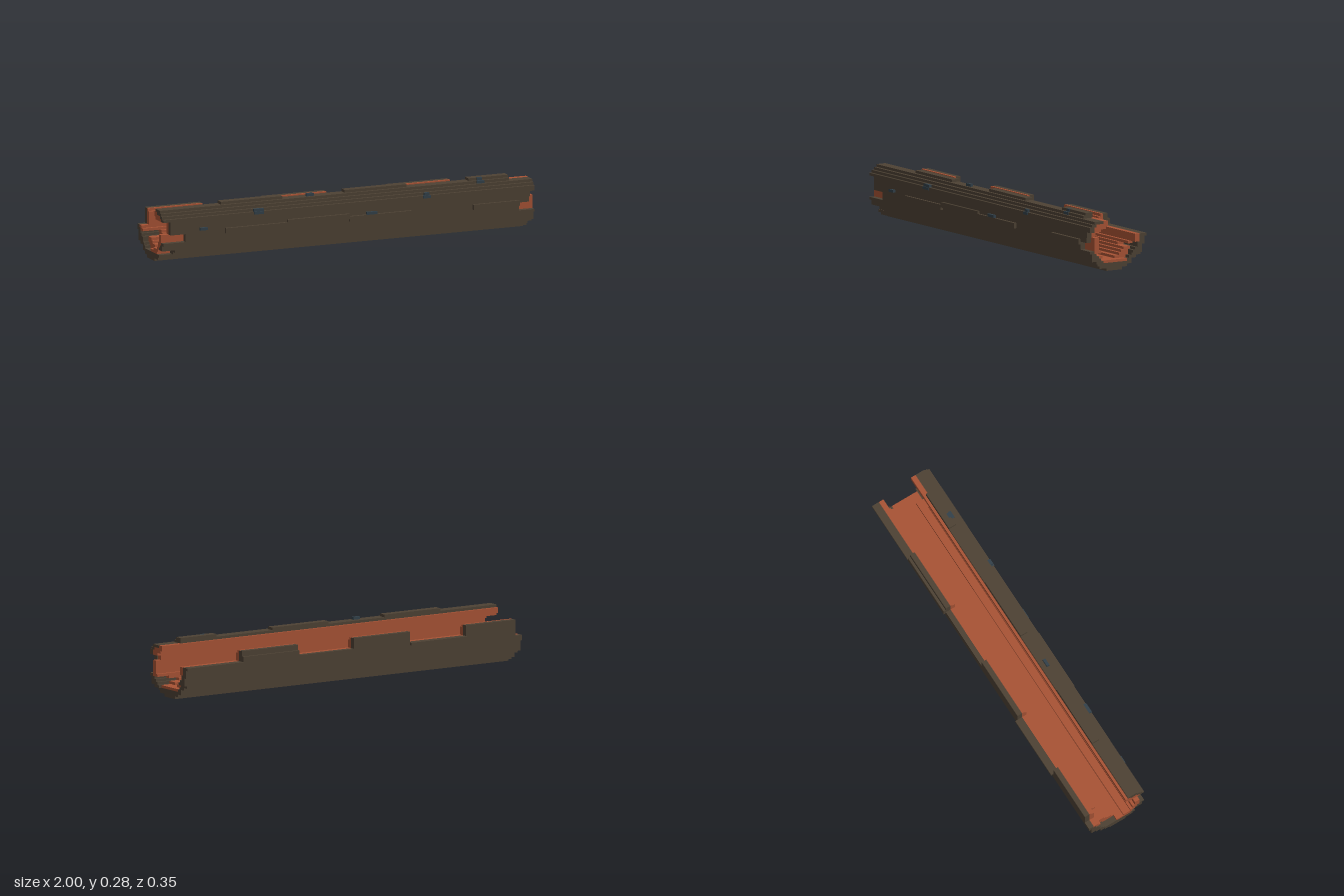
import * as THREE from 'three';
import { mergeGeometries } from 'three/addons/utils/BufferGeometryUtils.js';

const U = 1 / 75; // size of one voxel

// Box from rows j0..j1 (up), columns a..b (depth), both in voxels, and x0..x1 in units
function block(j0, j1, a, b, x0, x1) {
  const g = new THREE.BoxGeometry(x1 - x0, (j1 - j0) * U, Math.abs(a - b) * U);
  g.translate((x0 + x1) / 2, ((j0 + j1) / 2) * U, ((a + b) / 2) * U);
  return g;
}

// Start and end of one of the six equal lengths of the log
const span = (s) => [-1 + s / 3, -1 + (s + 1) / 3];

// Wall rows: first row, last row + 1, outer, bark/wood border, inner, bark x0, x1, wood x0, x1
const frontRows = [
  [3, 4, 9, 6, 0, -0.93, 1, -1, 0.985],
  [4, 5, 11, 7, 3, -0.93, 1, -1, 0.93],
  [5, 6, 11, 8, 6, -1, 1, -1, 0.88],
  [6, 7, 11, 9, 7, -1, 1, -1, 0.93],
  [7, 8, 12, 10, 7, -1, 1, -1, 1],
  [8, 11, 12, 10, 8, -0.88, 0.915, -1, 1],
  [11, 13, 12, 10, 8, -0.96, 0.97, -0.96, 1],
  [13, 15, 12, 10, 8, -0.96, 0.975, -0.96, 0.97],
  [15, 16, 12, 10, 7, -0.96, 1, -0.96, 1],
  [16, 17, 12, 10, 5, -1, 1, -1, 1],
  [17, 18, 11, 9, 4, -1, 1, -1, 1],
  [18, 19, 10, 6, 4, -1, 1, -1, 1],
];
const backRows = [
  [3, 4, -7, -5, 0, -1, 0.985, -0.97, 0.985],
  [4, 5, -9, -6, -1, -1, 0.985, -0.97, 0.955],
  [5, 6, -11, -7, -3, -1, 0.985, -0.97, 0.955],
  [6, 7, -11, -7, -4, -1, 1, -0.97, 0.955],
  [7, 8, -11, -8, -5, -1, 1, -0.905, 0.955],
  [8, 9, -11, -9, -6, -1, 1, -0.905, 0.88],
  [9, 10, -12, -9, -7, -1, 1, -1, 0.955],
  [10, 11, -12, -10, -8, -1, 1, -1, 1],
  [11, 13, -12, -10, -8, -0.96, 1, -0.96, 1],
];

export function createModel() {
  const log = new THREE.Group();
  log.name = 'hollowLog';
  const colours = { bark: 0x4d4234, wood: 0xa85335, moss: 0x33414a };
  const mats = {};
  for (const [name, hex] of Object.entries(colours)) {
    mats[name] = new THREE.MeshStandardMaterial({ color: hex });
    mats[name].name = name;
  }
  const add = (name, mat, boxes) => {
    const mesh = new THREE.Mesh(mergeGeometries(boxes), mats[mat]);
    mesh.name = name;
    log.add(mesh);
  };

  // Stepped underside
  add('undersideBark', 'bark', [
    block(0, 1, 4, -3, -1, 0.985),
    block(1, 2, 7, -5, -1, 0.985),
    block(2, 3, 8, -7, -1, 0.985),
  ]);

  // Both walls: bark outside, wood inside
  const wall = (rows) => ({
    bark: rows.map(([j0, j1, o, m, , x0, x1]) => block(j0, j1, o, m, x0, x1)),
    wood: rows.map(([j0, j1, , m, i, , , x0, x1]) => block(j0, j1, m, i, x0, x1)),
  });
  const front = wall(frontRows);
  const back = wall(backRows);

  // Front rim and its raised lengths
  front.bark.push(block(19, 20, 9, 5, -1, 0.88));
  for (const s of [1, 3, 5]) {
    const [x0, x1] = span(s);
    front.bark.push(block(20, 21, 8, 5, x0, Math.min(x1, 0.88)));
  }
  // Ridges along the front
  for (const [s, j] of [[1, 10], [2, 11], [3, 10], [5, 10]]) {
    const [x0, x1] = span(s);
    front.bark.push(block(j, j + 2, 13, 12, x0, Math.min(x1, 0.915)));
  }

  // Raised lengths of the back wall
  for (const s of [0, 2, 4]) {
    const [a, x1] = span(s);
    const x0 = Math.max(a, -0.96);
    back.bark.push(block(13, 17, -12, -10, x0, x1));
    back.wood.push(block(13, 16, -10, -8, x0, x1), block(16, 17, -10, -9, x0, x1));
  }
  // Ridges along the back
  for (const [s, top] of [[1, 13], [4, 15], [5, 13]]) {
    back.bark.push(block(12, top, -13, -12, ...span(s)));
  }

  add('frontBark', 'bark', front.bark);
  add('frontWood', 'wood', front.wood);
  add('backBark', 'bark', back.bark);
  add('backWood', 'wood', back.wood);

  // Moss tufts: centre x, width, row, outer column
  const tufts = [
    [-0.785, 0.04, 12, 13], [0.12, 0.055, 12, 13],
    [-0.485, 0.053, 16, 12.3], [-0.485, 0.053, 17, 12], [0.42, 0.04, 16, 12.3], [0.42, 0.027, 17, 12],
    [-0.185, 0.04, 20, 8], [0.725, 0.04, 19, 9.3], [0.725, 0.027, 20, 8.3],
  ];
  add('mossTufts', 'moss', tufts.map(([x, w, j, k]) =>
    block(j, j + 1.02, k, k - 1.1, x - w / 2, x + w / 2)));

  return log;
}
